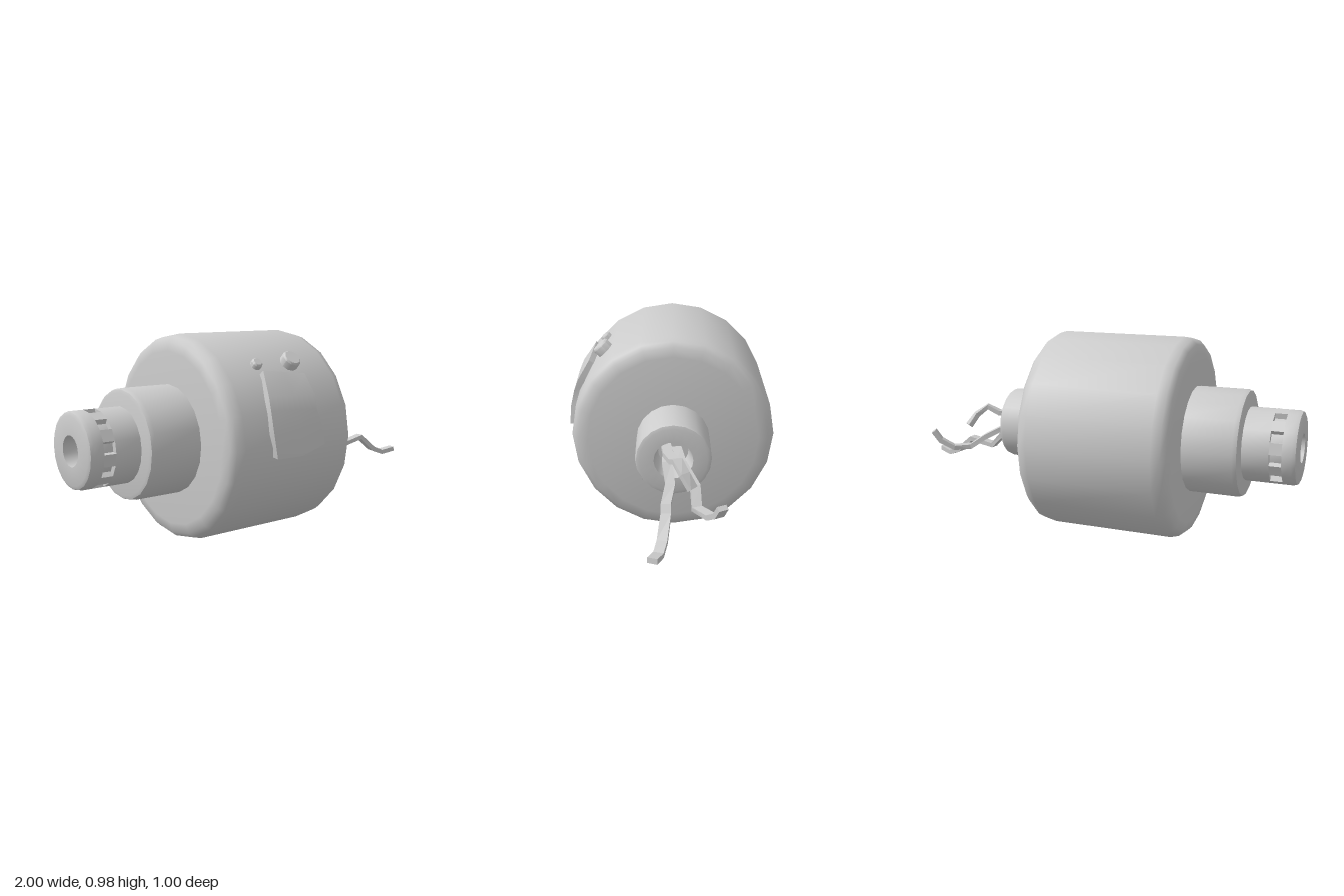
import * as THREE from 'three';
import { toCreasedNormals } from 'three/addons/utils/BufferGeometryUtils.js';

const AY = 0.49, AZ = -0.015, SIDES = 20; // main axis runs along x
const smooth = new THREE.MeshStandardMaterial({ color: 0xcccccc });
const flat = new THREE.MeshStandardMaterial({ color: 0xcccccc, flatShading: true });

function mesh(name, geometry, material = smooth) {
  const m = new THREE.Mesh(geometry, material);
  m.name = name;
  return m;
}

// Turned part: profile of [radius, x], lying along x
function turned(name, profile, crease = 0.75) {
  const g = new THREE.LatheGeometry(profile.map(([r, x]) => new THREE.Vector2(r, x)), SIDES);
  g.rotateZ(-Math.PI / 2);
  const m = mesh(name, toCreasedNormals(g, crease));
  m.position.set(0, AY, AZ);
  return m;
}

// Solid through matching rings of points, capped at both ends
function loft(rings) {
  const n = rings[0].length, pos = [], idx = [];
  rings.forEach(r => r.forEach(p => pos.push(p.x, p.y, p.z)));
  for (let i = 0; i < rings.length - 1; i++)
    for (let j = 0; j < n; j++) {
      const a = i * n + j, b = i * n + (j + 1) % n;
      idx.push(a, b, b + n, a, b + n, a + n);
    }
  const e = (rings.length - 1) * n;
  for (let j = 1; j < n - 1; j++) idx.push(0, j + 1, j, e, e + j, e + j + 1);
  const g = new THREE.BufferGeometry();
  g.setAttribute('position', new THREE.Float32BufferAttribute(pos, 3));
  g.setIndex(idx);
  g.computeVertexNormals();
  return g;
}

// Kinked flat strip following a path
function strip(path, width, thick) {
  const pts = path.map(p => new THREE.Vector3(...p));
  return loft(pts.map((p, i) => {
    const t = pts[Math.min(i + 1, pts.length - 1)].clone().sub(pts[Math.max(i - 1, 0)]).normalize();
    const s = new THREE.Vector3(0, 1, 0).cross(t).normalize();
    const u = t.clone().cross(s);
    return [[1, 1], [-1, 1], [-1, -1], [1, -1]].map(([a, b]) =>
      p.clone().addScaledVector(s, a * width / 2).addScaledVector(u, b * thick / 2));
  }));
}

export function createModel() {
  const model = new THREE.Group();
  model.name = 'device';

  // Drum and stepped collar
  model.add(turned('drum', [[0, -0.49], [0.41, -0.49], [0.455, -0.483], [0.477, -0.46], [0.488, -0.42],
    [0.488, 0.185], [0.477, 0.22], [0.455, 0.24], [0.41, 0.25], [0, 0.25]], 0.9));
  model.add(turned('collar', [[0, -0.75], [0.235, -0.75], [0.25, -0.745], [0.256, -0.725], [0.256, -0.48]]));

  // Left end sleeve with a bore and a groove, bridged by posts to leave square windows
  model.add(turned('ventSleeve', [[0, -0.93], [0.07, -0.93], [0.07, -1], [0.155, -1], [0.17, -0.993],
    [0.175, -0.975], [0.175, -0.932], [0.15, -0.932], [0.15, -0.875], [0.175, -0.875], [0.175, -0.74]]));
  const posts = new THREE.Group();
  posts.name = 'ventPosts';
  posts.position.set(0, AY, AZ);
  const postWidth = 2 * 0.175 * Math.sin(Math.PI / SIDES);
  for (let k = 0; k < SIDES / 2; k++) {
    const g = new THREE.BoxGeometry(0.057, 0.03, postWidth);
    g.translate(-0.9035, 0.175 * Math.cos(Math.PI / SIDES) - 0.015, 0);
    g.rotateX(THREE.MathUtils.degToRad(63 - 36 * k));
    posts.add(mesh('ventPost', g));
  }
  model.add(posts);

  // Right end sleeve with an open bore
  model.add(turned('wireSleeve', [[0.175, 0.24], [0.175, 0.47], [0.17, 0.485], [0.155, 0.49],
    [0.09, 0.49], [0.07, 0.38], [0, 0.38]]));

  // Loose wires
  const wires = [
    [[0.38, 0.5, 0.01], [0.5, 0.48, 0.015], [0.57, 0.41, 0], [0.64, 0.34, 0.02], [0.77, 0.365, 0.02],
      [0.86, 0.29, 0.035], [0.92, 0.265, 0.05], [0.99, 0.28, 0.075]],
    [[0.38, 0.5, -0.03], [0.5, 0.48, -0.05], [0.61, 0.42, -0.11], [0.7, 0.36, -0.115],
      [0.77, 0.36, -0.17], [0.83, 0.4, -0.2], [0.86, 0.45, -0.215]],
    [[0.38, 0.52, 0.02], [0.5, 0.525, 0.01], [0.58, 0.53, -0.015], [0.64, 0.56, -0.03],
      [0.69, 0.52, -0.06], [0.72, 0.465, -0.095]],
  ];
  wires.forEach((path, i) => model.add(mesh('wire' + (i + 1), strip(path, 0.045, 0.024), flat)));

  // Curved patch on the front: rows of three [x, y] points, bottom to top
  const rows = [
    [[-0.26, 0.44], [-0.11, 0.437], [0.025, 0.475]],
    [[-0.28, 0.55], [-0.13, 0.555], [0.01, 0.56]],
    [[-0.28, 0.65], [-0.13, 0.645], [-0.007, 0.64]],
    [[-0.272, 0.71], [-0.13, 0.705], [0.003, 0.7]],
    [[-0.245, 0.82], [-0.13, 0.807], [-0.012, 0.795]],
  ];
  const wrap = r => ([x, y]) => {
    const a = Math.asin((y - AY) / 0.51);
    return new THREE.Vector3(x, AY + r * Math.sin(a), AZ + r * Math.cos(a));
  };
  const patch = loft(rows.map(row => [...row.map(wrap(0.515)), ...row.map(wrap(0.465)).reverse()]));
  model.add(mesh('patch', toCreasedNormals(patch, 0.6)));

  // Knobs standing out from the drum above the patch
  for (const [name, x, r, top] of [['smallKnob', -0.24, 0.027, 0.51], ['largeKnob', -0.04, 0.046, 0.525]]) {
    const profile = [[0, 0.44], [r, 0.44], [r, top - 0.008], [r - 0.007, top], [0, top]];
    const g = new THREE.LatheGeometry(profile.map(p => new THREE.Vector2(...p)), 10);
    const knob = mesh(name, toCreasedNormals(g, 0.7));
    knob.rotation.x = THREE.MathUtils.degToRad(43.5);
    knob.position.set(x, AY, AZ);
    model.add(knob);
  }
  return model;
}
